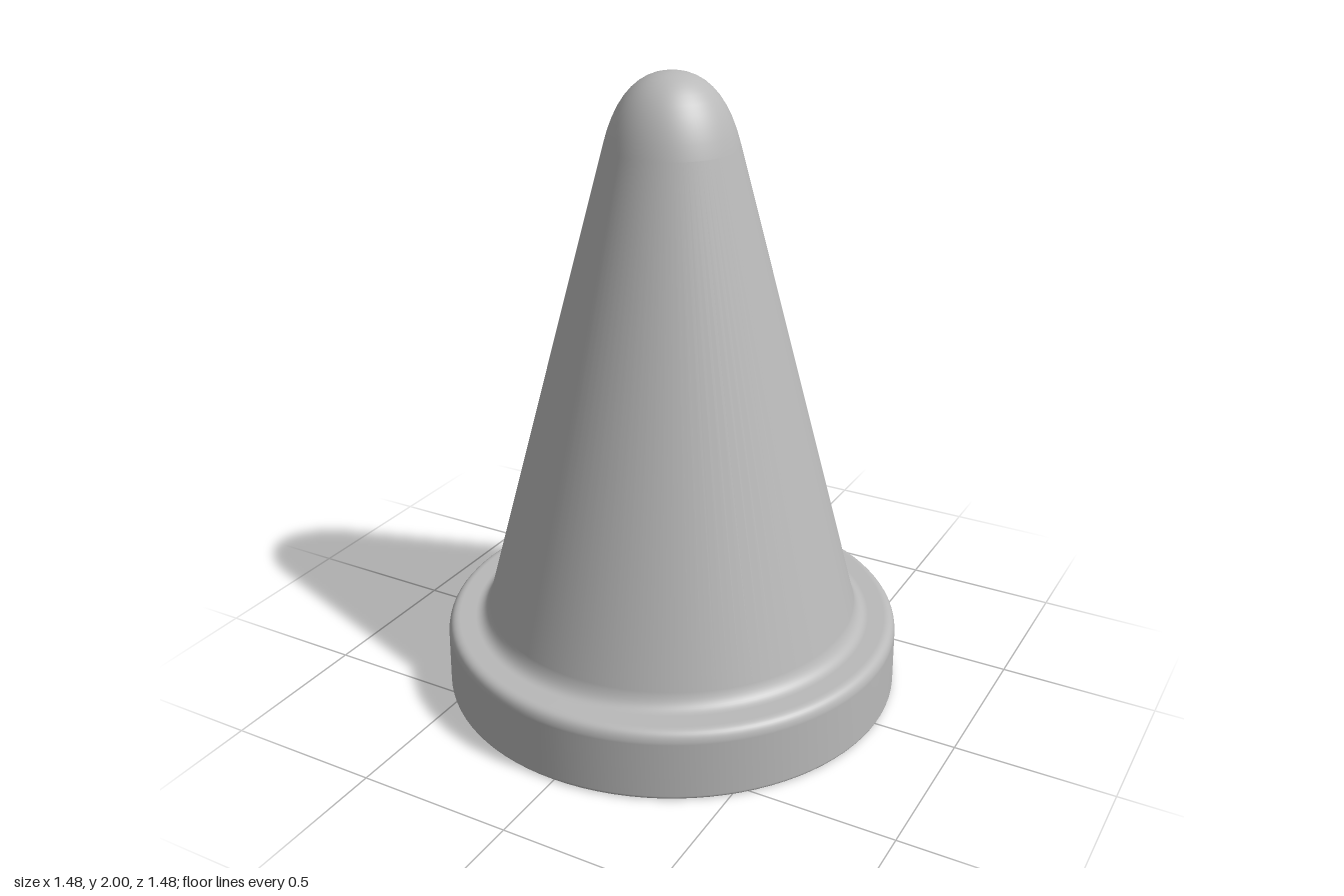
import * as THREE from 'three';

const grey = new THREE.MeshStandardMaterial({ color: 0xb9b9b9 });
grey.name = 'plainGrey';

// Closed wall section: up the outside from the rim, or down the hollow inside
function shellProfile() {
  const p = new THREE.Path();
  // inside of the cone, from the tip down to the flange
  p.moveTo(0, 1.94);
  p.bezierCurveTo(0.07, 1.94, 0.12, 1.9, 0.15, 1.78);
  p.lineTo(0.54, 0.27);
  p.quadraticCurveTo(0.565, 0.18, 0.61, 0.18);
  // underside of the flange and inside of the rim
  p.lineTo(0.68, 0.18);
  p.quadraticCurveTo(0.695, 0.18, 0.695, 0.165);
  p.lineTo(0.695, 0.012);
  p.quadraticCurveTo(0.695, 0, 0.707, 0);
  // foot and outside of the rim
  p.lineTo(0.728, 0);
  p.quadraticCurveTo(0.74, 0, 0.74, 0.012);
  p.lineTo(0.738, 0.19);
  p.quadraticCurveTo(0.735, 0.23, 0.7, 0.23);
  // top of the flange, fillet and outside of the cone
  p.lineTo(0.65, 0.23);
  p.quadraticCurveTo(0.615, 0.23, 0.6, 0.28);
  p.lineTo(0.205, 1.78);
  p.bezierCurveTo(0.165, 1.94, 0.09, 2, 0, 2);
  return p.getPoints(10);
}

export function createModel() {
  const group = new THREE.Group();
  group.name = 'hollowCone';
  const shell = new THREE.Mesh(new THREE.LatheGeometry(shellProfile(), 96), grey);
  shell.name = 'coneShell';
  group.add(shell);
  return group;
}
